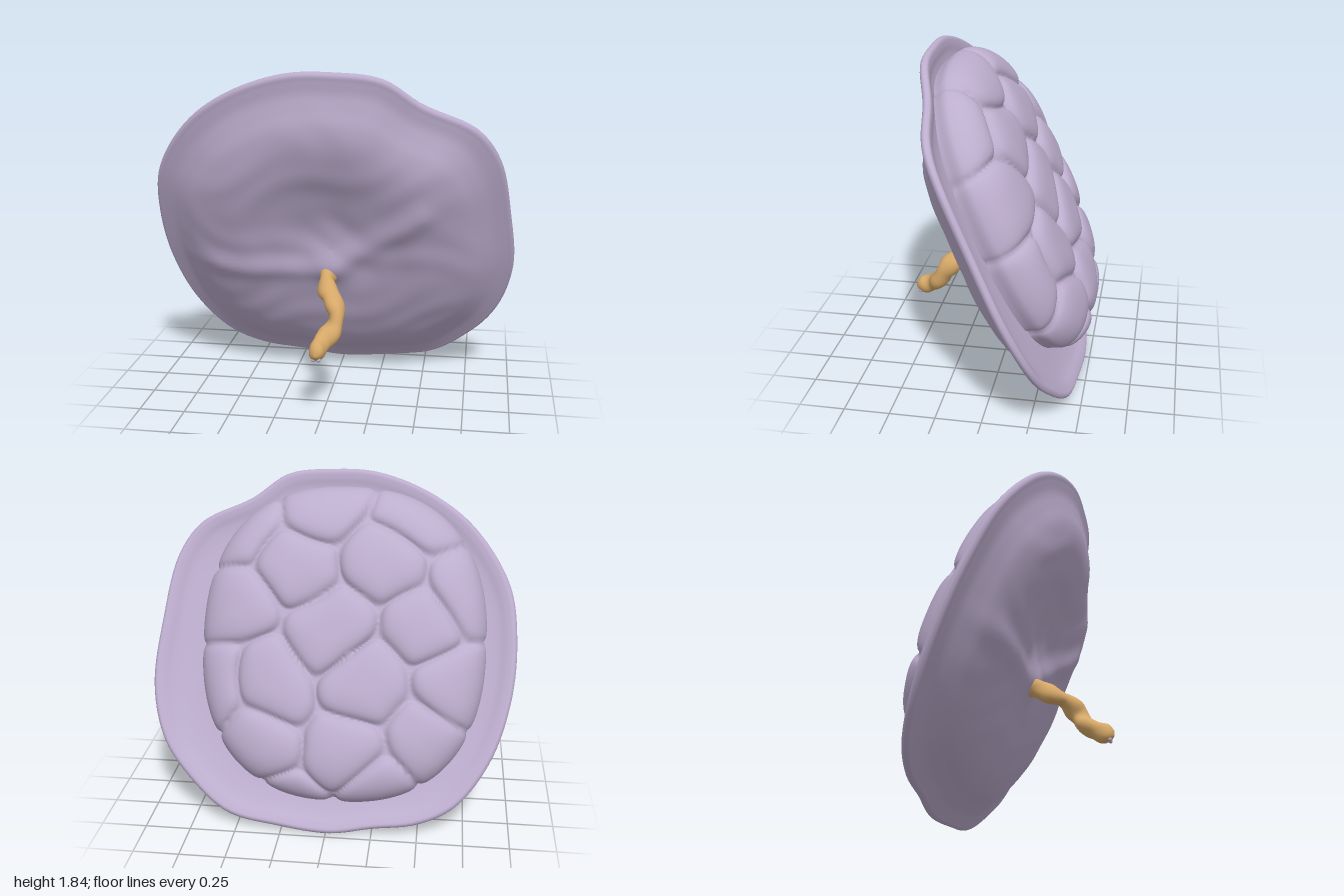
import * as THREE from 'three';

const TILT = 0.433;
const { smoothstep, clamp } = THREE.MathUtils;

// Grid surface from fn(i, j), closed around j
function surface(rows, cols, fn) {
  const pos = [], idx = [];
  for (let i = 0; i <= rows; i++)
    for (let j = 0; j < cols; j++) pos.push(...fn(i / rows, j / cols).toArray());
  for (let i = 0; i < rows; i++)
    for (let j = 0; j < cols; j++) {
      const k = (j + 1) % cols;
      const a = i * cols + j, b = a + cols, c = (i + 1) * cols + k, d = i * cols + k;
      idx.push(a, b, c, a, c, d);
    }
  const g = new THREE.BufferGeometry();
  g.setAttribute('position', new THREE.Float32BufferAttribute(pos, 3));
  g.setIndex(idx);
  g.computeVertexNormals();
  return g;
}

const gauss = (d, w) => Math.exp(-(d * d) / (w * w));

function segmentDistance(x, y, ax, ay, bx, by) {
  const dx = bx - ax, dy = by - ay;
  const t = clamp(((x - ax) * dx + (y - ay) * dy) / (dx * dx + dy * dy), 0, 1);
  return Math.hypot(x - ax - t * dx, y - ay - t * dy);
}

// Disc outline, counter-clockwise from the bottom
const outline = new THREE.CatmullRomCurve3([
  [-0.02, 0.005], [0.28, 0.03], [0.55, 0.08], [0.75, 0.22], [0.92, 0.42], [1, 0.7], [0.97, 1.05],
  [0.9, 1.38], [0.78, 1.55], [0.5, 1.68], [0.3, 1.81], [0.05, 1.84], [-0.2, 1.83], [-0.5, 1.73],
  [-0.75, 1.56], [-0.95, 1.28], [-1, 1.0], [-0.98, 0.7], [-0.88, 0.4], [-0.7, 0.17], [-0.5, 0.075],
  [-0.25, 0.04],
].map(([x, y]) => new THREE.Vector3(x, (y - 0.92) / 0.908, 0)), true);

// Cross-section from front centre, around the rim, to under the lobes: [radius fraction, height]
const section = new THREE.CatmullRomCurve3([
  [0, 0.19], [0.15, 0.195], [0.3, 0.205], [0.5, 0.2], [0.65, 0.175], [0.76, 0.135], [0.84, 0.085],
  [0.9, 0.05], [0.96, 0.03], [0.99, 0.02], [1, 0], [0.985, -0.02], [0.95, -0.015], [0.9, 0.005],
  [0.8, 0.02], [0.62, 0.02],
].map(([s, z]) => new THREE.Vector3(s, z, 0)));

function discGeometry() {
  const cols = 140;
  const ring = outline.getSpacedPoints(cols);
  return surface(90, cols, (t, u) => {
    const p = section.getPoint(t), o = ring[Math.round(u * cols)];
    const s = clamp(p.x, 0, 1), x = o.x * s, y = o.y * s;
    // the left rim bends back a little
    let z = p.y - 0.02 * smoothstep(x, 0.8, 1);
    // hollow, folds, cord root and fine crumples on the smooth face
    if (t < 0.5) {
      const fade = 1 - smoothstep(s, 0.6, 0.95);
      const fold = Math.min(segmentDistance(x, y, -0.85, -0.15, 0, -0.13),
        segmentDistance(x, y, 0, -0.13, 0.5, 0.25));
      z += fade * (0.01 * gauss(y - 0.48, 0.22) - 0.06 * gauss(Math.hypot(x + 0.04, y - 0.27), 0.35));
      z += fade * (0.02 * gauss(fold, 0.07) + 0.035 * gauss(Math.hypot(x, y + 0.1), 0.12));
      z += fade * 0.004 * Math.sin(x * 11 + 3 * Math.sin(y * 7)) * Math.sin(y * 13 + 2 * Math.sin(x * 8));
    }
    return new THREE.Vector3(x, y, z);
  });
}

// Lobe centres on the back
const lobes = [
  [-0.45, 0.74], [0.12, 0.8], [0.5, 0.62], [-0.3, 0.44], [0.2, 0.45], [-0.72, 0.33], [0.56, 0.2],
  [-0.47, 0.14], [0.02, 0.13], [-0.7, -0.14], [-0.22, -0.2], [0.3, -0.2], [0.63, -0.22],
  [-0.52, -0.5], [-0.06, -0.55], [0.36, -0.56], [-0.3, -0.8], [0.16, -0.83],
];

// Soft distance from a point to the borders of the lobe it lies in
function borderDistance(px, py) {
  const x = px + 0.03 * Math.sin(py * 9), y = py + 0.03 * Math.sin(px * 8 + 1);
  const near = lobes.map(([a, b]) => [Math.hypot(x - a, y - b), a, b]).sort((m, n) => m[0] - n[0]);
  const [f, ...rest] = near;
  const sum = rest.reduce((total, g) => total
    + Math.exp(-(g[0] ** 2 - f[0] ** 2) / (2 * Math.hypot(f[1] - g[1], f[2] - g[2])) / 0.025), 0);
  return Math.max(0, -0.025 * Math.log(sum));
}

function lobeGeometry() {
  return surface(90, 280, (t, u) => {
    // rounded-square outline, slightly undercut and domed towards the middle
    const a = u * Math.PI * 2, c = Math.cos(a), n = Math.sin(a);
    const k = (Math.abs(c) ** 2.4 + Math.abs(n) ** 2.4) ** (-1 / 2.4);
    const s = Math.cos(t * Math.PI / 2);
    const x = 0.785 * k * c * s, y = 0.87 * k * n * s;
    const e = borderDistance(x - 0.055, y + 0.04);
    const crease = Math.exp(-e / 0.018);
    const dome = Math.max(0, 1 - s ** 4) ** 0.34;
    const puff = 1 - (1 - Math.min(1, e / 0.15)) ** 2;
    const h = dome * (0.268 + 0.025 * puff - 0.035 * crease + 0.02 * smoothstep(-y, 0.4, 0.8));
    const pull = (1 - 0.025 * crease * s ** 6) * (0.97 + 0.03 * smoothstep(h, 0, 0.1));
    return new THREE.Vector3(x * pull - 0.055, y * pull + 0.04, 0.025 - h);
  });
}

// Twisted, knobbly cord with a tapered, rounded end
function cordGeometry(path) {
  const rows = 70, frames = path.computeFrenetFrames(rows);
  return surface(rows, 20, (t, u) => {
    const i = Math.round(t * rows), a = -u * Math.PI * 2;
    const end = Math.sqrt(Math.max(0, 1 - Math.max(0, (t - 0.88) / 0.12) ** 2));
    const r = end * (0.049 + 0.005 * Math.sin(t * 28) + 0.006 * Math.cos(2 * a + t * 16));
    return path.getPointAt(t)
      .addScaledVector(frames.normals[i], r * Math.cos(a))
      .addScaledVector(frames.binormals[i], r * Math.sin(a));
  });
}

export function createModel() {
  const lavender = new THREE.MeshStandardMaterial({ color: 0xbcadcd });
  lavender.name = 'lavender tissue';
  const tan = new THREE.MeshStandardMaterial({ color: 0xd6a868 });
  tan.name = 'tan cord';
  const model = new THREE.Group();
  model.name = 'lobedDisc';
  const add = (parent, name, geometry, material) => {
    const mesh = new THREE.Mesh(geometry, material);
    mesh.name = name;
    parent.add(mesh);
    return mesh;
  };

  // Tilted disc with its lobed back
  const body = new THREE.Group();
  body.name = 'body';
  body.position.set(0, 0.92, -0.04);
  body.rotation.x = TILT;
  model.add(body);
  add(body, 'disc', discGeometry(), lavender);
  add(body, 'lobes', lobeGeometry(), lavender);

  // Cord hanging from the front
  const path = new THREE.CatmullRomCurve3([
    [0, 0.72, 0.02], [-0.015, 0.69, 0.1], [-0.01, 0.645, 0.19], [0.035, 0.61, 0.27], [0.065, 0.54, 0.33],
    [0.045, 0.47, 0.37], [0.005, 0.425, 0.42], [-0.015, 0.395, 0.47], [-0.02, 0.375, 0.53],
  ].map((p) => new THREE.Vector3(...p)));
  add(model, 'cord', cordGeometry(path), tan);

  // Vessel stubs under the cord's end
  for (const x of [-0.034, -0.006]) {
    const stub = add(model, 'vesselStub', new THREE.SphereGeometry(0.012, 10, 8), lavender);
    stub.position.set(x, 0.352, 0.505);
  }
  return model;
}
